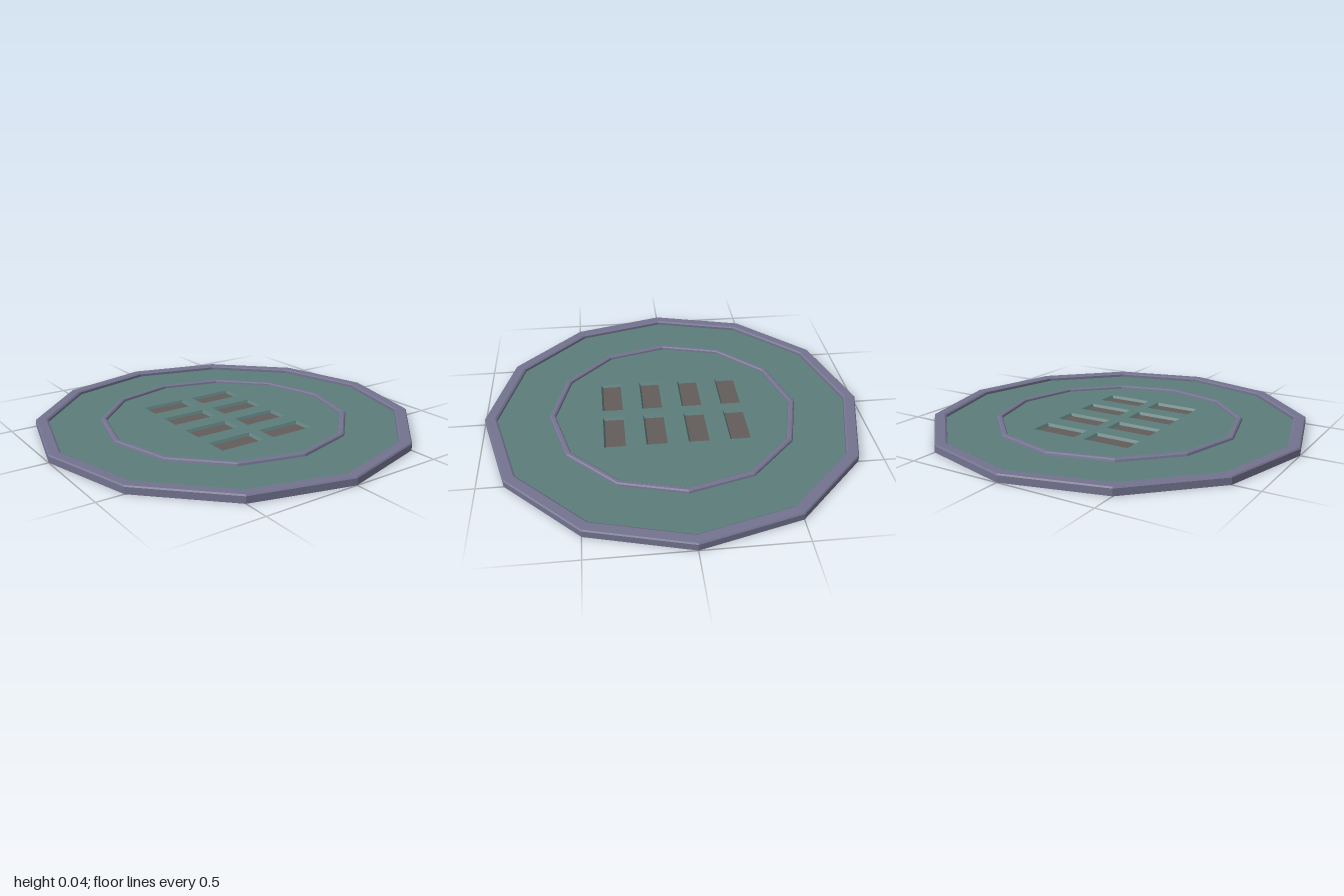
import * as THREE from 'three';

const SIDES = 12;
const DECK = 0.02;   // height of the plate surface
const FLOOR = 0.006; // height of the slot floors
const HALF_W = 0.06, HALF_D = 0.125, INSET = 0.01;

const paint = (color) => new THREE.MeshStandardMaterial({ color, flatShading: true });

function add(group, name, geometry, material) {
  const mesh = new THREE.Mesh(geometry, material);
  mesh.name = name;
  group.add(mesh);
  return mesh;
}

// Twelve-sided raised band; profile runs from the outer foot to the inner foot
function band(profile) {
  return new THREE.LatheGeometry(profile.map(([r, y]) => new THREE.Vector2(r, y)), SIDES);
}

// Rectangle corners around a centre
function corners(w, d) {
  return [[-w, -d], [w, -d], [w, d], [-w, d]];
}

// Four sloping walls of a slot, facing inwards
function slotWalls() {
  const pos = [];
  const top = corners(HALF_W, HALF_D).map(([x, z]) => [x, DECK, z]);
  const low = corners(HALF_W - INSET, HALF_D - INSET).map(([x, z]) => [x, FLOOR, z]);
  for (let i = 0; i < 4; i++) {
    const j = (i + 1) % 4;
    pos.push(...top[i], ...low[i], ...low[j], ...top[i], ...low[j], ...top[j]);
  }
  const geometry = new THREE.BufferGeometry();
  geometry.setAttribute('position', new THREE.Float32BufferAttribute(pos, 3));
  geometry.computeVertexNormals();
  return geometry;
}

export function createModel() {
  const model = new THREE.Group();
  model.name = 'roundPlatform';
  const teal = paint(0x5b7c7a);
  const violet = paint(0x73738f);
  const brown = paint(0x625c5a);

  const slots = [];
  for (const x of [-0.322, -0.108, 0.108, 0.322])
    for (const z of [-0.155, 0.155]) slots.push([x, z]);

  // Deck plate pierced by the slots
  const deck = new THREE.Shape();
  for (let i = 0; i < SIDES; i++) {
    const a = (i / SIDES) * Math.PI * 2;
    const x = 0.945 * Math.cos(a), y = 0.945 * Math.sin(a);
    if (i) deck.lineTo(x, y); else deck.moveTo(x, y);
  }
  deck.closePath();
  for (const [x, z] of slots) {
    deck.holes.push(new THREE.Path(
      corners(HALF_W, HALF_D).reverse().map(([dx, dz]) => new THREE.Vector2(x + dx, -z + dz))));
  }
  add(model, 'deck', new THREE.ShapeGeometry(deck).rotateX(-Math.PI / 2), teal);

  model.getObjectByName('deck').position.y = DECK;

  // Closed underside
  add(model, 'underside', new THREE.CircleGeometry(1, SIDES).rotateX(Math.PI / 2), teal);

  // Outer rim with chamfered edges
  add(model, 'outerRim', band([
    [1, 0], [1, 0.034], [0.994, 0.04], [0.946, 0.04], [0.936, 0.034], [0.936, DECK],
  ]), violet);

  // Slim inner ring
  add(model, 'innerRing', band([
    [0.663, DECK], [0.66, 0.03], [0.653, 0.035], [0.638, 0.035], [0.631, 0.03], [0.629, DECK],
  ]), violet);

  // Recessed slots
  const walls = slotWalls();
  const floor = new THREE.PlaneGeometry(2 * (HALF_W - INSET), 2 * (HALF_D - INSET)).rotateX(-Math.PI / 2);
  for (const [x, z] of slots) {
    const slot = new THREE.Group();
    slot.name = 'slot';
    slot.position.set(x, 0, z);
    add(slot, 'slotWalls', walls, teal);
    add(slot, 'slotFloor', floor, brown).position.y = FLOOR;
    model.add(slot);
  }
  return model;
}
